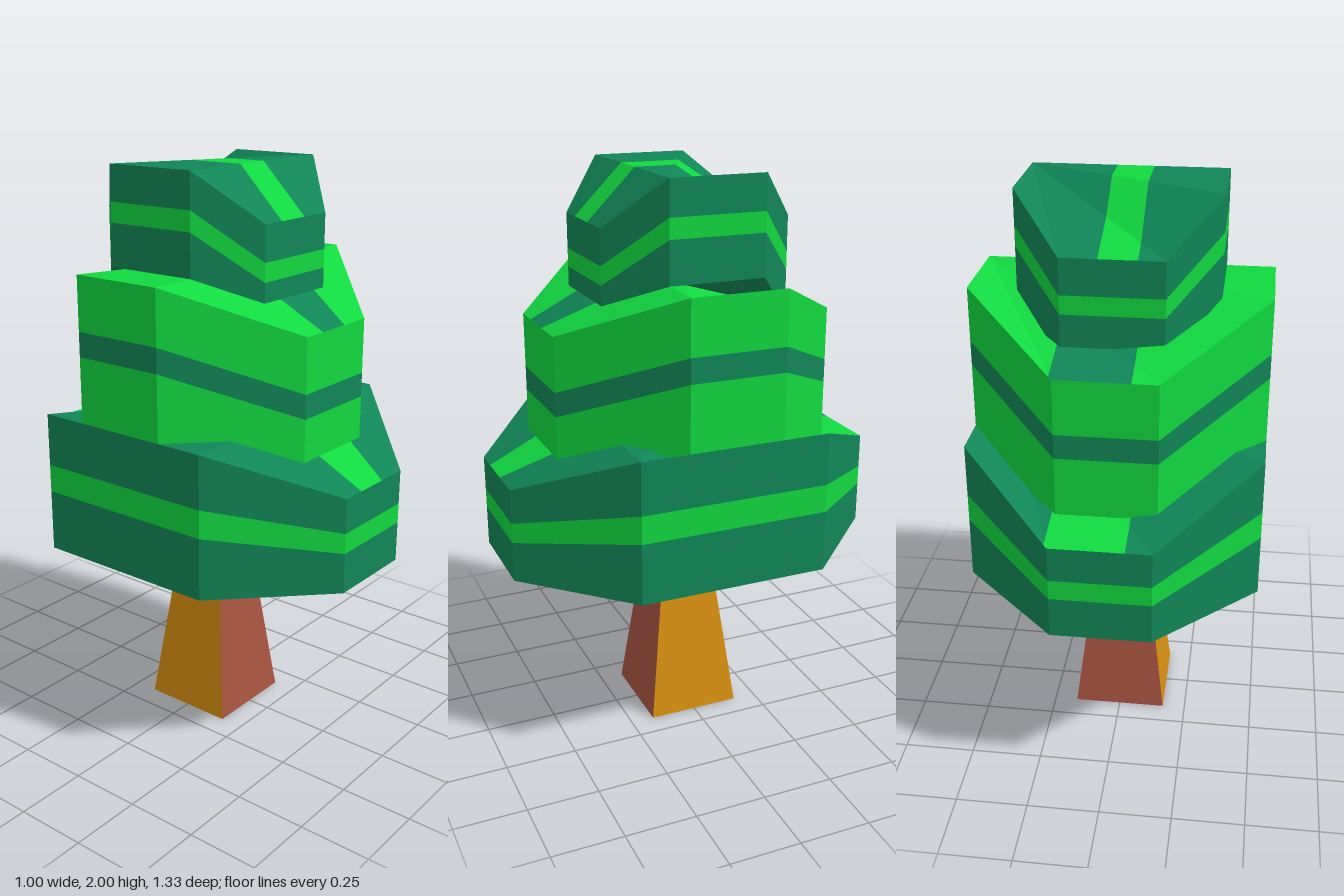
import * as THREE from 'three';

const mat = (name, color) => {
  const m = new THREE.MeshStandardMaterial({ color });
  m.name = name;
  return m;
};

// Mesh from flat convex polygons (lists of Vector3, counter-clockwise from outside)
function polyMesh(name, polygons, material) {
  const pos = [];
  for (const p of polygons)
    for (let i = 1; i < p.length - 1; i++)
      for (const v of [p[0], p[i], p[i + 1]]) pos.push(v.x, v.y, v.z);
  const g = new THREE.BufferGeometry();
  g.setAttribute('position', new THREE.Float32BufferAttribute(pos, 3));
  g.computeVertexNormals();
  const mesh = new THREE.Mesh(g, material);
  mesh.name = name;
  return mesh;
}

// Keep the part of a convex polygon where side(v) >= 0
function clip(poly, side) {
  const out = [];
  poly.forEach((a, i) => {
    const b = poly[(i + 1) % poly.length];
    const da = side(a), db = side(b);
    if (da >= 0) out.push(a);
    if (da * db < 0) out.push(a.clone().lerp(b, da / (da - db)));
  });
  return out;
}

// One eight-sided foliage tier. Each height is [at front and back corners, at side corners].
function tier(name, o, bodyMat, stripeMat) {
  const { n, w, f, s } = o;
  const plan = [[-n, f], [n, f], [w, s], [w, -s], [n, -f], [-n, -f], [-w, -s], [-w, s]];
  const isSide = [0, 0, 1, 1, 0, 0, 1, 1];
  const ring = (h) => plan.map(([x, z], i) => new THREE.Vector3(x, h[isSide[i]], z));
  const rings = [o.bottom, o.bandLow, o.bandHigh, o.top].map(ring);
  const body = [], stripe = [];

  // walls with a band around the middle
  for (let r = 0; r < 3; r++)
    for (let i = 0; i < 8; i++) {
      const j = (i + 1) % 8;
      (r === 1 ? stripe : body).push([rings[r][i], rings[r][j], rings[r + 1][j], rings[r + 1][i]]);
    }

  // roof and underside: fan from one corner, cut into a lengthwise stripe and two flanks
  const caps = [];
  for (let k = 1; k < 7; k++) {
    const a = (2 + k) % 8, b = (3 + k) % 8;
    caps.push([rings[3][2], rings[3][a], rings[3][b]]);
    caps.push([rings[0][2], rings[0][b], rings[0][a]]);
  }
  const left = (v) => v.x + 0.08;
  const right = (v) => 0.045 + o.flare * Math.max(0, f - Math.max(v.z, s)) - v.x;
  for (const c of caps) {
    body.push(clip(c, (v) => -left(v)), clip(c, (v) => -right(v)));
    stripe.push(clip(clip(c, left), right));
  }

  const g = new THREE.Group();
  g.name = name;
  g.add(polyMesh(name + 'Body', body.filter((p) => p.length > 2), bodyMat));
  g.add(polyMesh(name + 'Stripes', stripe.filter((p) => p.length > 2), stripeMat));
  return g;
}

export function createModel() {
  const dark = mat('darkGreen', 0x118657);
  const light = mat('lightGreen', 0x11d93f);
  const brown = mat('brownBark', 0xa85341);
  const orange = mat('orangeBark', 0xd98f10);
  const maroon = mat('crimsonBase', 0xd8004c);
  const pink = mat('pinkBase', 0xde7092);

  const tree = new THREE.Group();
  tree.name = 'tree';

  // tapered square trunk, brown front and back, orange sides
  const trunk = new THREE.Group();
  trunk.name = 'trunk';
  const B = 1 / 6, T = 1 / 12, H = 0.675;
  for (let i = 0; i < 4; i++) {
    const face = [[-B, 0, B], [B, 0, B], [T, H, T], [-T, H, T]].map((p) => new THREE.Vector3(...p));
    const side = polyMesh('trunkSide', [face], i % 2 ? orange : brown);
    side.rotation.y = (i * Math.PI) / 2;
    trunk.add(side);
  }

  // chequered underside of the trunk
  for (const x of [-1, 1])
    for (const z of [-1, 1]) {
      const tile = new THREE.Mesh(new THREE.PlaneGeometry(B, B), x === z ? pink : maroon);
      tile.name = 'trunkBase';
      tile.rotation.x = Math.PI / 2;
      tile.position.set((x * B) / 2, 0, (z * B) / 2);
      trunk.add(tile);
    }
  tree.add(trunk);

  // three stacked foliage tiers
  const n = 1 / 6;
  tree.add(tier('lowerFoliage', {
    n, w: 0.5, f: 2 / 3, s: 1 / 3, flare: 0.4,
    bottom: [0.67, 0.67], bandLow: [0.81, 0.885], bandHigh: [0.88, 0.983], top: [1, 7 / 6],
  }, dark, light));
  tree.add(tier('middleFoliage', {
    n, w: 0.5, f: 0.5, s: 1 / 6, flare: 0.4,
    bottom: [1, 7 / 6], bandLow: [1.23, 1.395], bandHigh: [1.313, 1.48], top: [1.5, 5 / 3],
  }, light, dark));
  tree.add(tier('upperFoliage', {
    n, w: 1 / 3, f: 1 / 3, s: 1 / 6, flare: 0,
    bottom: [1.5, 5 / 3], bandLow: [1.65, 1.812], bandHigh: [1.713, 1.88], top: [11 / 6, 2],
  }, dark, light));

  return tree;
}
